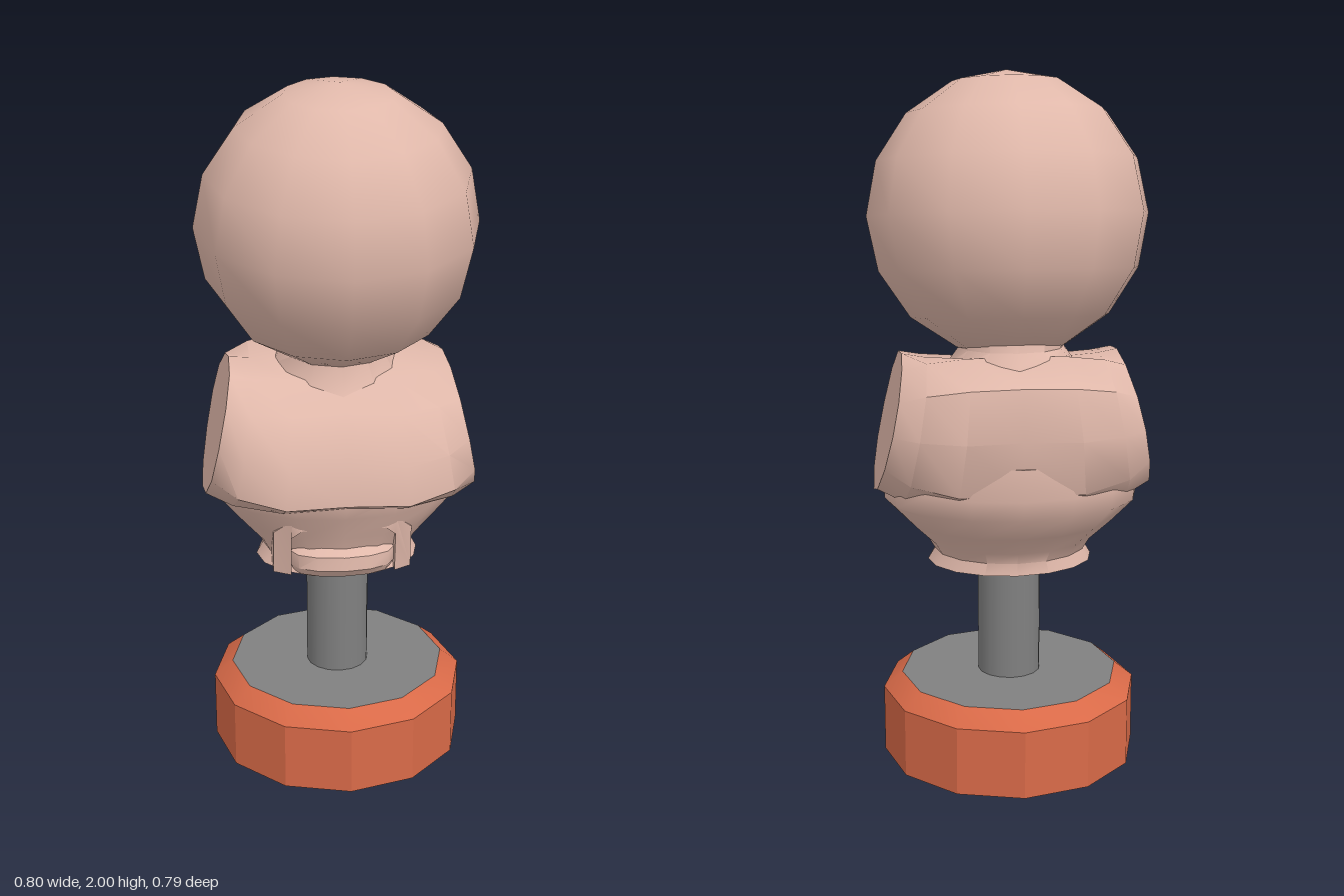
import * as THREE from 'three';
import { toCreasedNormals } from 'three/addons/utils/BufferGeometryUtils.js';

const skin = new THREE.MeshStandardMaterial({ color: 0xe0b8aa });
const orange = new THREE.MeshStandardMaterial({ color: 0xd96a48 });
const grey = new THREE.MeshStandardMaterial({ color: 0x808080 });

// Skin a row of equal-length rings and cap both ends.
function loft(rings, crease = 0.7) {
  const n = rings[0].length, pos = [], idx = [];
  const centre = ring => ring.reduce((s, p) => s.map((v, k) => v + p[k] / n), [0, 0, 0]);
  rings.forEach(ring => ring.forEach(p => pos.push(...p)));
  const start = pos.length / 3, last = (rings.length - 1) * n;
  pos.push(...centre(rings[0]), ...centre(rings[rings.length - 1]));
  for (let j = 0; j < n; j++) {
    const k = (j + 1) % n;
    for (let i = 0; i < last; i += n) idx.push(i + j, i + k, i + n + k, i + j, i + n + k, i + n + j);
    idx.push(start, k, j, start + 1, last + j, last + k);
  }
  const g = new THREE.BufferGeometry();
  g.setAttribute('position', new THREE.Float32BufferAttribute(pos, 3));
  g.setIndex(idx);
  return toCreasedNormals(g, crease);
}

// Horizontal oval ring; tilt lowers the front and raises the back.
function oval([y, rx, front, back, tilt = 0], n = 16) {
  return Array.from({ length: n }, (_, i) => {
    const a = i / n * Math.PI * 2, c = Math.cos(a);
    return [rx * Math.sin(a), y - tilt * c, (front + back) / 2 + (front - back) / 2 * c];
  });
}

export function createModel() {
  const model = new THREE.Group();
  const add = (name, geometry, material, x = 0, y = 0, z = 0) => {
    const m = new THREE.Mesh(geometry, material);
    m.name = name;
    m.position.set(x, y, z);
    model.add(m);
    return m;
  };

  // Round stand with a bevelled rim and grey faces
  const rim = [[0.375, 0], [0.375, 0.2], [0.32, 0.245]].map(p => new THREE.Vector2(...p));
  add('baseRim', toCreasedNormals(new THREE.LatheGeometry(rim, 12), 0.4), orange, 0, 0, -0.01);
  add('baseTop', new THREE.CircleGeometry(0.32, 12).rotateX(-Math.PI / 2), grey, 0, 0.245, -0.01);
  add('baseBottom', new THREE.CircleGeometry(0.375, 12).rotateX(Math.PI / 2), grey, 0, 0, -0.01);
  add('pole', new THREE.CylinderGeometry(0.092, 0.092, 0.38, 16), grey, 0, 0.43, -0.005);

  // Waist narrowing to a small flared foot
  add('waist', loft([
    [0.6, 0.24, 0.17, -0.21], [0.635, 0.22, 0.155, -0.205], [0.67, 0.24, 0.165, -0.225],
    [0.73, 0.3, 0.19, -0.28], [0.8, 0.365, 0.22, -0.335], [0.86, 0.37, 0.25, -0.355],
    [0.95, 0.34, 0.24, -0.35]].map(r => oval(r))), skin);

  // Chest runs side to side, from a deep middle section to flat arm stubs ([z, y] points)
  const middle = [[-0.05, 1.2], [0.1, 1.18], [0.21, 1.11], [0.29, 0.98], [0.3, 0.87], [0.2, 0.82],
    [-0.03, 0.8], [-0.2, 0.8], [-0.33, 0.87], [-0.38, 1.03], [-0.345, 1.17], [-0.2, 1.23]];
  const stub = [[-0.03, 1.215], [0.09, 1.2], [0.17, 1.13], [0.2, 1.02], [0.18, 0.92], [0.1, 0.85],
    [-0.03, 0.82], [-0.14, 0.85], [-0.23, 0.93], [-0.27, 1.03], [-0.24, 1.12], [-0.14, 1.19]];
  const half = [[0, 0, 0.96], [0.45, 0, 1], [0.8, 0.42, 1], [1, 1, 1]]; // place, blend, depth
  const stations = [...half.slice(1).reverse().map(([t, w, d]) => [-t, w, d]), ...half];
  add('chest', loft(stations.map(([t, w, d]) => middle.map(([mz, my], i) => {
    const z = THREE.MathUtils.lerp(mz, stub[i][0], w) * d;
    const y = THREE.MathUtils.lerp(my, stub[i][1], w);
    return [t * (0.31 + (1.21 - y) * 0.218), y, z];
  }))), skin);

  // Neck flaring into the collar, lower at the front
  add('neck', loft([
    [1.13, 0.22, 0.19, -0.27, 0.04], [1.18, 0.19, 0.15, -0.25, 0.035],
    [1.235, 0.15, 0.115, -0.22, 0.01], [1.32, 0.16, 0.13, -0.21]].map(r => oval(r, 12))), skin);

  const head = add('head', new THREE.SphereGeometry(0.4, 12, 8), skin, 0, 1.6, 0);
  head.rotation.x = 0.14;

  // Arched band at the front of the waist with a small pad inside
  const arch = (w, h, c) => [[-w, 0], [-w, h - c], [-w + c, h], [w - c, h], [w, h - c], [w, 0]];
  const band = [...arch(0.2, 0.18, 0.05), ...arch(0.15, 0.15, 0.03).reverse()];
  const bend = g => { // wrap around the waist and follow its outward slope
    const p = g.attributes.position;
    for (let i = 0; i < p.count; i++) {
      const x = p.getX(i);
      p.setZ(i, p.getZ(i) - 1.6 * x * x + 0.25 * Math.max(0, p.getY(i) - 0.08));
    }
    g.computeVertexNormals();
    return toCreasedNormals(g, 0.6);
  };
  const bandShape = new THREE.Shape(band.map(p => new THREE.Vector2(...p)));
  add('waistBand', bend(new THREE.ExtrudeGeometry(bandShape, { depth: 0.08, bevelEnabled: false })),
    skin, 0, 0.605, 0.11);
  const pad = [[0.605, 0.14, 0.18, 0.06], [0.63, 0.15, 0.2, 0.06], [0.67, 0.15, 0.195, 0.06], [0.69, 0.13, 0.17, 0.06]];
  add('waistPad', loft(pad.map(r => oval(r, 12))), skin);

  return model;
}
